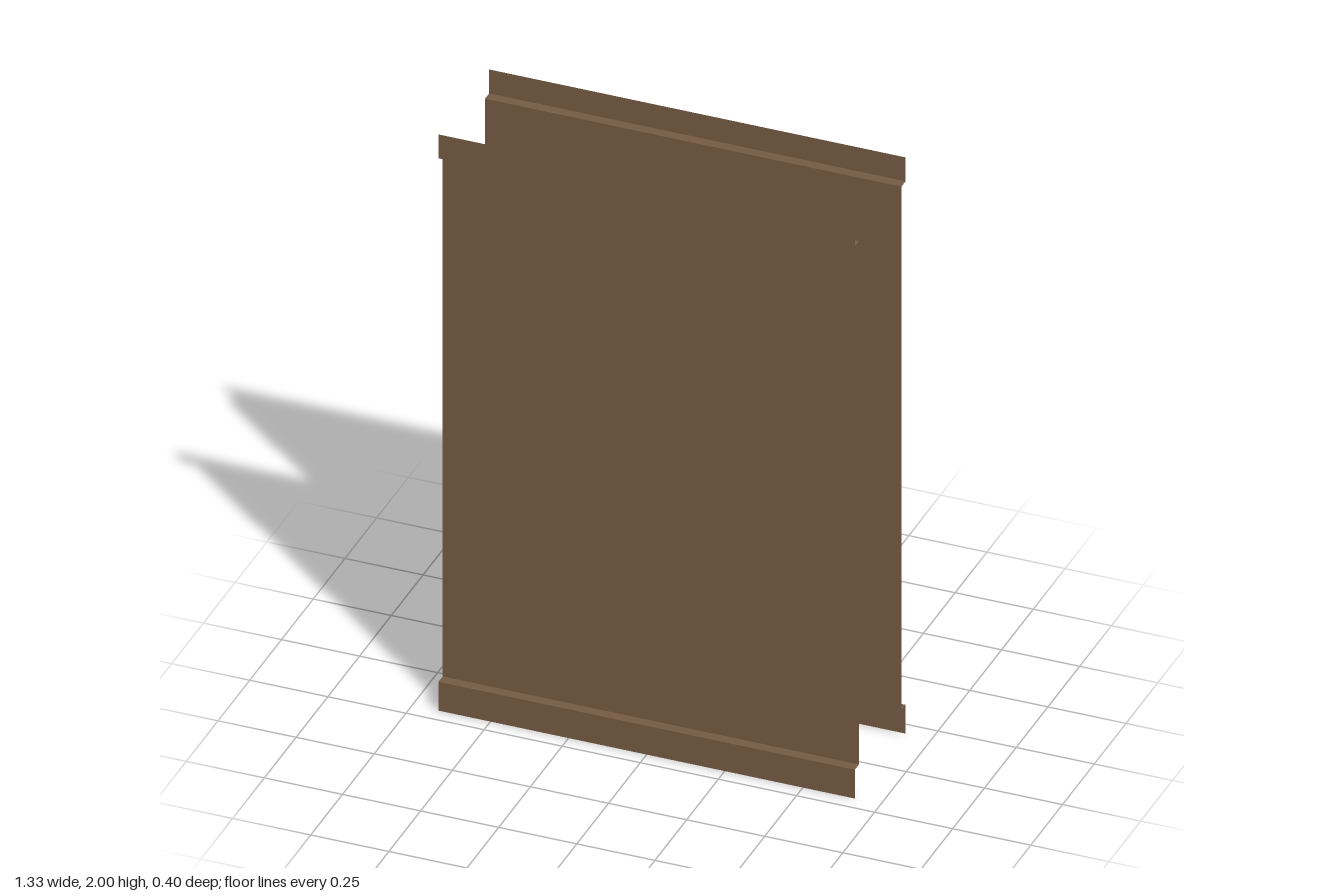
import * as THREE from 'three';

const WIDTH = 1.333;
const OUTER = 0.2, INNER = 0.167; // distance of rails and panel from the centre
const LOW = 0.1, HIGH = 1.917, TOP = 2; // heights of the two ledges and the top

export function createModel() {
  const brown = new THREE.MeshStandardMaterial({ color: 0x755b43, side: THREE.DoubleSide });
  brown.name = 'brown wood';

  // Upright sheet facing +z
  function upright(name, y0, y1, z) {
    const mesh = new THREE.Mesh(new THREE.PlaneGeometry(WIDTH, y1 - y0), brown);
    mesh.name = name;
    mesh.position.set(0, (y0 + y1) / 2, z);
    return mesh;
  }

  // Narrow level sheet joining panel and rail; dir is 1 facing up, -1 facing down
  function ledge(name, y, dir) {
    const mesh = new THREE.Mesh(new THREE.PlaneGeometry(WIDTH, OUTER - INNER), brown);
    mesh.name = name;
    mesh.rotation.x = -dir * Math.PI / 2;
    mesh.position.set(0, y, (OUTER + INNER) / 2);
    return mesh;
  }

  // One open-ended side: recessed panel between two raised rails
  function side(name) {
    const group = new THREE.Group();
    group.name = name;
    group.add(
      upright('bottomRail', 0, LOW, OUTER),
      ledge('bottomLedge', LOW, 1),
      upright('panel', LOW, HIGH, INNER),
      ledge('topLedge', HIGH, -1),
      upright('topRail', HIGH, TOP, OUTER)
    );
    return group;
  }

  const model = new THREE.Group();
  model.name = 'panelPair';
  const front = side('frontSide');
  const back = side('backSide');
  back.rotation.y = Math.PI;
  model.add(front, back);
  return model;
}
